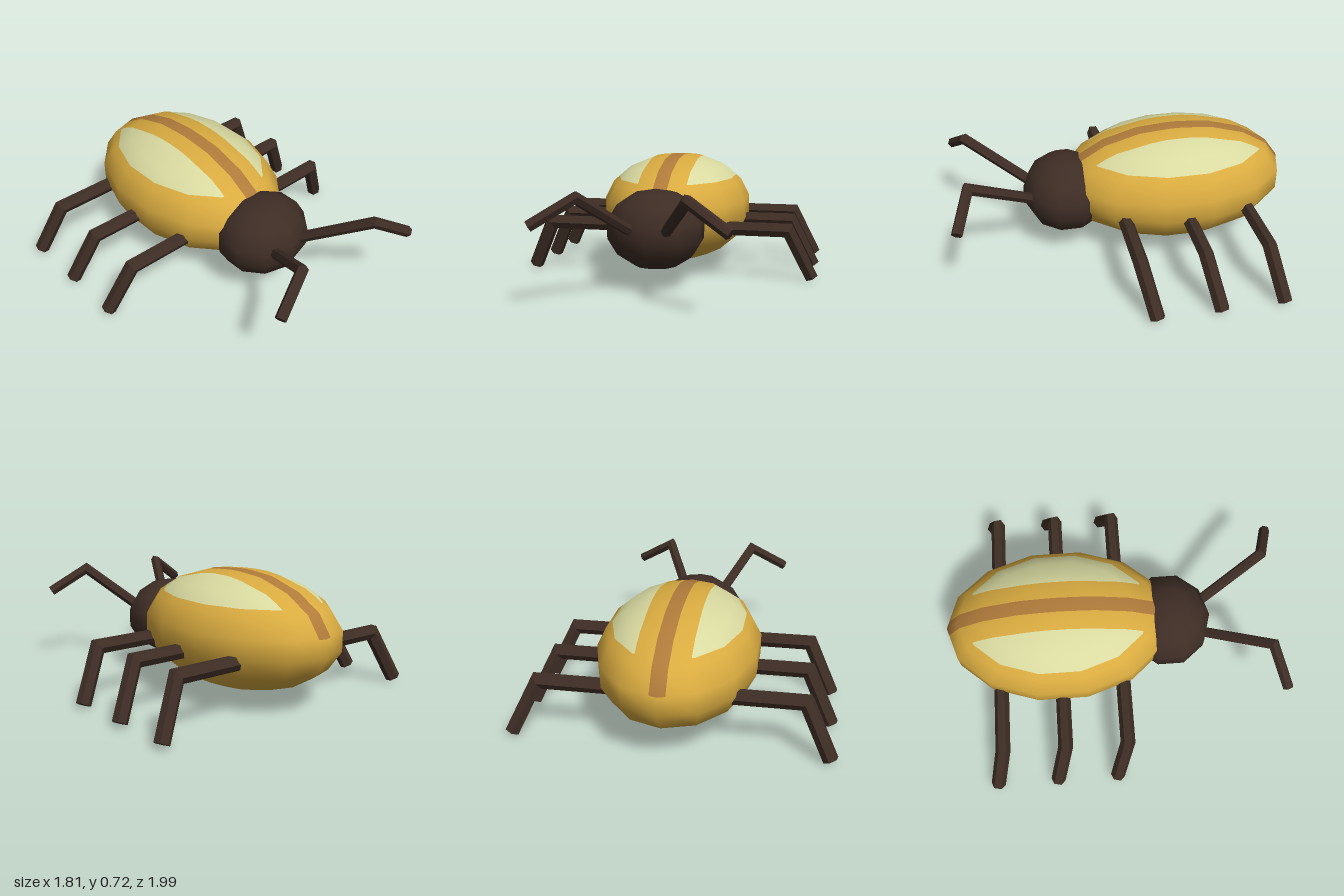
import * as THREE from 'three';

const makeMaterial = (name, color) => {
  const m = new THREE.MeshStandardMaterial({ color });
  m.name = name;
  return m;
};

// Low-sided ellipsoid with a corner on its front and back
function ellipsoid(radii, center, around, rings) {
  return new THREE.SphereGeometry(1, around, rings)
    .rotateY(Math.PI / 2)
    .scale(...radii)
    .translate(...center);
}

// Cut a convex polygon of [x, y, z, nx, ny, nz] points along one axis plane
function cut(poly, axis, value) {
  const low = [], high = [];
  poly.forEach((a, i) => {
    const b = poly[(i + 1) % poly.length];
    const da = a[axis] - value, db = b[axis] - value;
    if (da <= 0) low.push(a);
    if (da >= 0) high.push(a);
    if (da * db < 0) {
      const t = da / (da - db);
      const p = a.map((v, k) => v + (b[k] - v) * t);
      low.push(p);
      high.push(p);
    }
  });
  return [low, high].filter((p) => p.length > 2);
}

// Split a surface along planes, then sort the pieces into colour groups
function splitByColour(source, planes, pick, count) {
  const geo = source.toNonIndexed();
  const pos = geo.attributes.position, nor = geo.attributes.normal;
  const buckets = Array.from({ length: count }, () => []);
  for (let i = 0; i < pos.count; i += 3) {
    let polys = [[i, i + 1, i + 2].map((k) => [
      pos.getX(k), pos.getY(k), pos.getZ(k), nor.getX(k), nor.getY(k), nor.getZ(k),
    ])];
    for (const [axis, value] of planes) polys = polys.flatMap((p) => cut(p, axis, value));
    for (const p of polys) {
      const mid = (k) => p.reduce((s, v) => s + v[k], 0) / p.length;
      const bucket = buckets[pick(mid(0), mid(1))];
      for (let k = 1; k < p.length - 1; k++) bucket.push(p[0], p[k], p[k + 1]);
    }
  }
  const out = new THREE.BufferGeometry();
  const all = buckets.flat();
  const attribute = (from) =>
    new THREE.Float32BufferAttribute(all.flatMap((v) => v.slice(from, from + 3)), 3);
  out.setAttribute('position', attribute(0));
  out.setAttribute('normal', attribute(3));
  let start = 0;
  buckets.forEach((b, i) => {
    out.addGroup(start, b.length, i);
    start += b.length;
  });
  return out;
}

// Six-sided rod through three points with a mitred bend and flat caps
function bentRod(points, radius) {
  const sides = 6;
  const [a, b, c] = points.map((p) => new THREE.Vector3(...p));
  const d1 = b.clone().sub(a).normalize(), d2 = c.clone().sub(b).normalize();
  const u = new THREE.Vector3(0, 1, 0).cross(d1).normalize();
  const v = d1.clone().cross(u);
  const slide = (p, dir, through, normal) =>
    p.clone().addScaledVector(dir, through.clone().sub(p).dot(normal) / dir.dot(normal));
  const first = [];
  for (let i = 0; i < sides; i++) {
    const t = (i / sides) * Math.PI * 2;
    first.push(a.clone().addScaledVector(u, radius * Math.cos(t)).addScaledVector(v, radius * Math.sin(t)));
  }
  const mitre = d1.clone().add(d2).normalize();
  const bend = first.map((p) => slide(p, d1, b, mitre));
  const last = bend.map((p) => slide(p, d2, c, d2));
  const tris = [];
  for (let i = 0; i < sides; i++) {
    const j = (i + 1) % sides;
    for (const [r, s] of [[first, bend], [bend, last]]) {
      tris.push(r[i], r[j], s[j], r[i], s[j], s[i]);
    }
    tris.push(a, first[j], first[i], c, last[i], last[j]);
  }
  const geo = new THREE.BufferGeometry().setFromPoints(tris);
  geo.computeVertexNormals();
  return geo;
}

export function createModel() {
  const model = new THREE.Group();
  model.name = 'beetle';
  const golden = makeMaterial('golden shell', 0xd9ab40);
  const brown = makeMaterial('brown stripe', 0xb07b3a);
  const pale = makeMaterial('pale patch', 0xd9daa0);
  const dark = makeMaterial('dark brown', 0x3e2d25);

  const add = (name, geometry, material) => {
    const mesh = new THREE.Mesh(geometry, material);
    mesh.name = name;
    model.add(mesh);
  };

  // Shell with a centre stripe and two pale patches
  const stripeX = 0.042, stripeY = 0.44, patchX = 0.145, patchY = 0.58;
  const shell = splitByColour(
    ellipsoid([0.461, 0.335, 0.675], [0, 0.385, -0.335], 14, 9),
    [[0, -patchX], [0, -stripeX], [0, stripeX], [0, patchX], [1, stripeY], [1, patchY]],
    (x, y) => {
      if (Math.abs(x) < stripeX && y > stripeY) return 1;
      return Math.abs(x) > patchX && y > patchY ? 2 : 0;
    },
    3,
  );
  add('shell', shell, [golden, brown, pale]);

  // Head
  add('head', ellipsoid([0.285, 0.23, 0.257], [0, 0.348, 0.32], 10, 7), dark);

  // Mirrored legs and antennae
  for (const [side, s] of [['left', 1], ['right', -1]]) {
    [['front', 0.025], ['middle', -0.337], ['rear', -0.7]].forEach(([place, z]) => {
      add(`${side} ${place} leg`, bentRod([
        [s * 0.33, 0.312, z],
        [s * 0.725, 0.312, z],
        [s * 0.866, 0.022, z - 0.068],
      ], 0.043), dark);
    });
    add(`${side} antenna`, bentRod([
      [s * 0.095, 0.365, 0.51],
      [s * 0.283, 0.6, 0.885],
      [s * 0.505, 0.462, 0.963],
    ], 0.032), dark);
  }
  return model;
}
